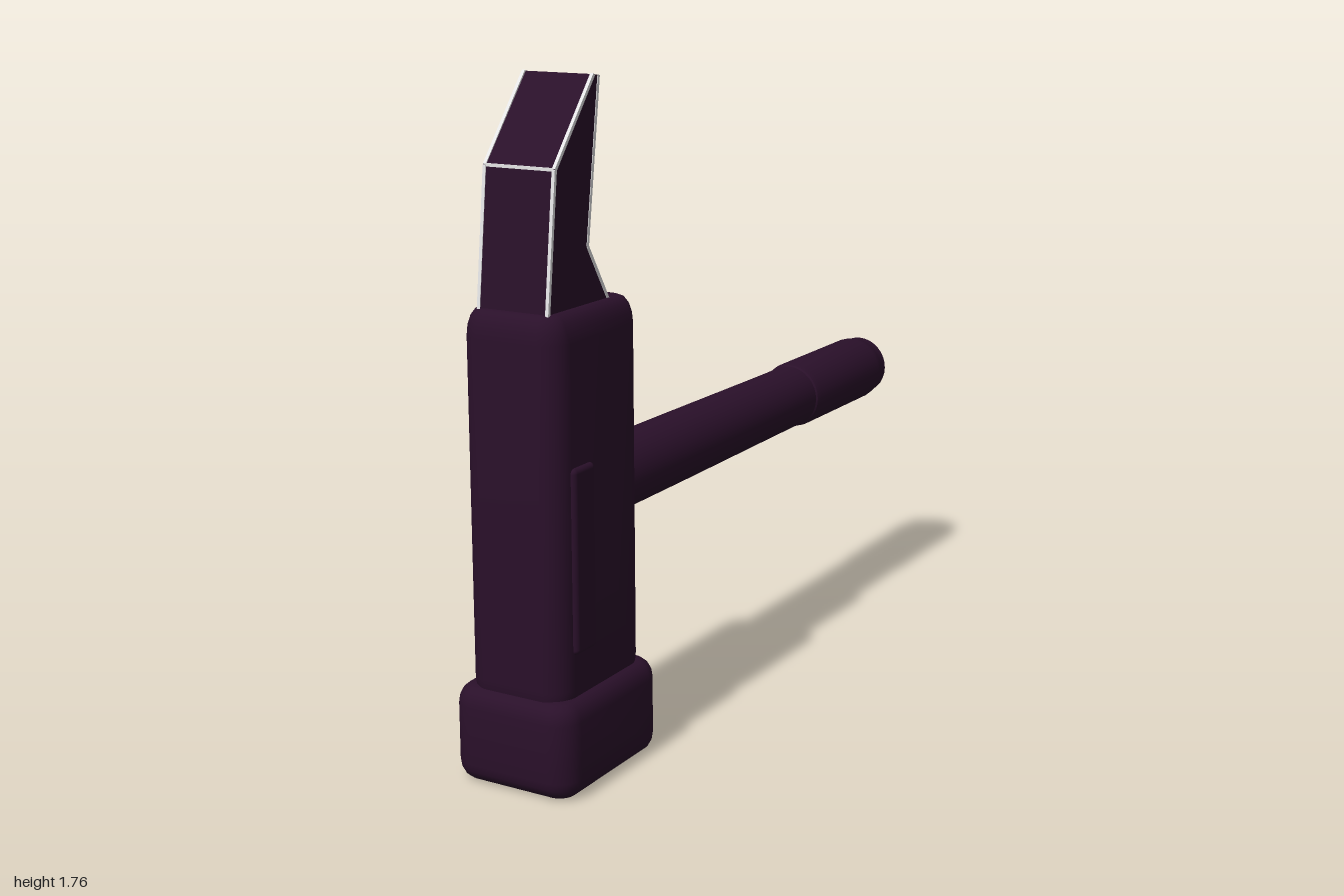
import * as THREE from 'three';
import { toCreasedNormals } from 'three/addons/utils/BufferGeometryUtils.js';
import { RoundedBoxGeometry } from 'three/addons/geometries/RoundedBoxGeometry.js';

const HANDLE_Y = 0.702;

function material(name, color) {
  const m = new THREE.MeshStandardMaterial({ color });
  m.name = name;
  return m;
}

// Upright block with rounded corners and softened top and bottom edges
function blockGeometry(width, depth, height, radius, bevelHeight, bevelWidth) {
  const x = width / 2 - bevelWidth, y = depth / 2 - bevelWidth, r = radius;
  const s = new THREE.Shape();
  s.moveTo(-x + r, -y);
  s.lineTo(x - r, -y);
  s.absarc(x - r, -y + r, r, -Math.PI / 2, 0);
  s.absarc(x - r, y - r, r, 0, Math.PI / 2);
  s.absarc(-x + r, y - r, r, Math.PI / 2, Math.PI);
  s.absarc(-x + r, -y + r, r, Math.PI, Math.PI * 1.5);
  const g = new THREE.ExtrudeGeometry(s, {
    depth: height - 2 * bevelHeight, bevelThickness: bevelHeight,
    bevelSize: bevelWidth, bevelSegments: 4, curveSegments: 5,
  });
  g.translate(0, 0, bevelHeight);
  g.rotateX(-Math.PI / 2);
  return toCreasedNormals(g, 0.6);
}

// Turned part running backwards along -z; points are [radius, distance behind z = 0]
function turnedGeometry(points) {
  const g = new THREE.LatheGeometry(points.map(([r, t]) => new THREE.Vector2(r, t)), 32);
  g.rotateX(-Math.PI / 2);
  return toCreasedNormals(g, 0.5);
}

export function createModel() {
  const model = new THREE.Group();
  model.name = 'hammer';
  const dark = material('darkPlum', 0x2a102a);
  const pale = material('paleEdge', 0xe9e9ea);
  const gold = material('gold', 0xc98a2b);

  const add = (name, geometry, mat, x = 0, y = 0, z = 0) => {
    const mesh = new THREE.Mesh(geometry, mat);
    mesh.name = name;
    mesh.position.set(x, y, z);
    model.add(mesh);
    return mesh;
  };

  // Head: striking face block, body and side plate
  add('strikingBlock', blockGeometry(0.355, 0.445, 0.25, 0.025, 0.05, 0.04), dark, 0, 0, 0.777);
  add('headBody', blockGeometry(0.288, 0.39, 1.01, 0.03, 0.07, 0.035), dark, 0, 0.2, 0.777);
  add('sidePlate', new RoundedBoxGeometry(0.04, 0.475, 0.095, 3, 0.014), dark, 0.135, 0.597, 0.868);

  // Bent wedge on top, profile as [z, y]
  const profile = [[0.94, 1.19], [0.9, 1.55], [0.728, 1.76], [0.708, 1.757], [0.765, 1.35], [0.672, 1.2]];
  const outline = [[0.94, 1.12], ...profile, [0.65, 1.12]];
  const shape = new THREE.Shape(outline.map(([z, y]) => new THREE.Vector2(-z, y)));
  const wedge = new THREE.ExtrudeGeometry(shape, { depth: 0.204, bevelEnabled: false });
  wedge.translate(0, 0, -0.102);
  wedge.rotateY(Math.PI / 2);
  add('wedge', wedge, dark);

  // Pale trim along the wedge edges
  const edges = new THREE.Group();
  edges.name = 'wedgeEdges';
  model.add(edges);
  const bar = (a, b, thickness) => {
    const mesh = new THREE.Mesh(new THREE.BoxGeometry(thickness, thickness, a.distanceTo(b)), pale);
    mesh.name = 'edgeTrim';
    mesh.position.lerpVectors(a, b, 0.5);
    mesh.lookAt(b);
    edges.add(mesh);
  };
  for (const side of [-1, 1]) {
    const pts = profile.map(([z, y]) => new THREE.Vector3(side * 0.099, y, z + (z > 0.8 ? -0.003 : 0)));
    for (const i of [0, 1, 3, 4]) bar(pts[i], pts[i + 1], 0.009);
  }
  bar(new THREE.Vector3(-0.099, 1.55, 0.897), new THREE.Vector3(0.099, 1.55, 0.897), 0.008);

  // Handle, thicker grip, end ring and end cap
  add('handle', turnedGeometry([[0.097, -0.62], [0.095, -0.2], [0.091, 0.3], [0.09, 0.52]]), dark, 0, HANDLE_Y);
  add('grip', turnedGeometry([
    [0.088, 0.485], [0.094, 0.492], [0.097, 0.51], [0.097, 0.91], [0.094, 0.935],
    [0.089, 0.945], [0.089, 0.974], [0, 0.974],
  ]), dark, 0, HANDLE_Y);
  const ring = new THREE.RingGeometry(0.074, 0.087, 32);
  ring.rotateY(Math.PI);
  add('endRing', ring, gold, 0, HANDLE_Y, -0.9755);
  add('endCap', turnedGeometry([[0.079, 0.97], [0.079, 0.986], [0, 0.986]]), dark, 0, HANDLE_Y);

  return model;
}
